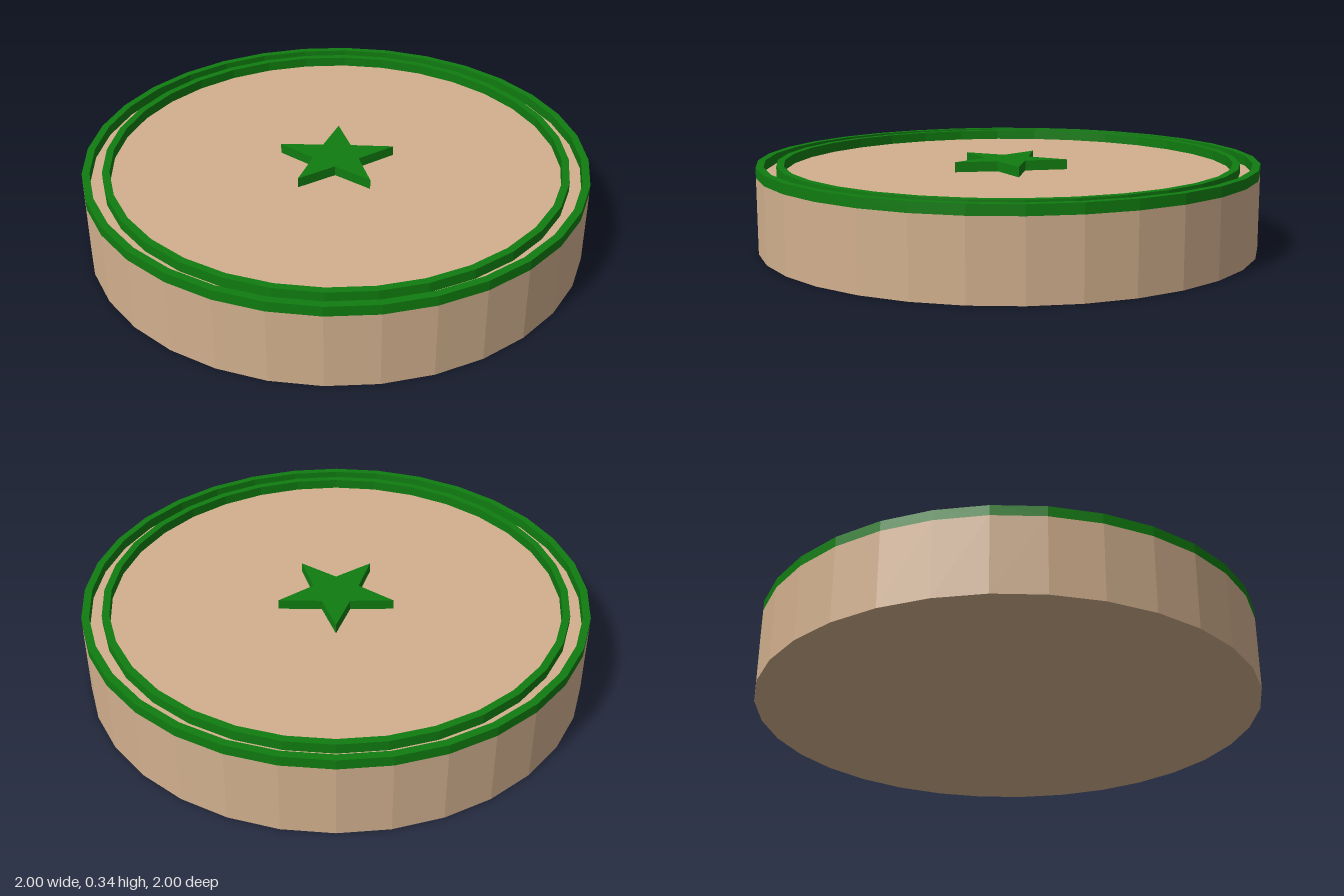
import * as THREE from 'three';

const SIDES = 32;
const BASE_H = 0.3;
const RAISED = 0.04;

export function createModel() {
  const model = new THREE.Group();
  model.name = 'roundToken';

  const tan = new THREE.MeshStandardMaterial({ color: 0xd2b08e, flatShading: true });
  tan.name = 'tan';
  const green = new THREE.MeshStandardMaterial({ color: 0x107c10, flatShading: true });
  green.name = 'green';

  const add = (name, geometry, material, y) => {
    const mesh = new THREE.Mesh(geometry, material);
    mesh.name = name;
    mesh.position.y = y;
    model.add(mesh);
  };

  // Thick faceted disc
  add('disc', new THREE.CylinderGeometry(1, 1, BASE_H, SIDES), tan, BASE_H / 2);

  // Two raised rims with rectangular cross-sections
  const ring = (inner, outer) => new THREE.LatheGeometry(
    [[inner, 0], [outer, 0], [outer, RAISED], [inner, RAISED], [inner, 0]]
      .map(([r, y]) => new THREE.Vector2(r, y)), SIDES);
  add('outerRim', ring(0.97, 1), green, BASE_H);
  add('innerRim', ring(0.893, 0.922), green, BASE_H);

  // Raised five-pointed star, one tip towards the back
  const points = [];
  for (let i = 0; i < 10; i++) {
    const r = i % 2 ? 0.095 : 0.238;
    const a = Math.PI / 2 + i * Math.PI / 5;
    points.push(new THREE.Vector2(r * Math.cos(a), r * Math.sin(a)));
  }
  const star = new THREE.ExtrudeGeometry(new THREE.Shape(points), { depth: RAISED, bevelEnabled: false });
  star.rotateX(-Math.PI / 2);
  add('star', star, green, BASE_H);

  return model;
}
